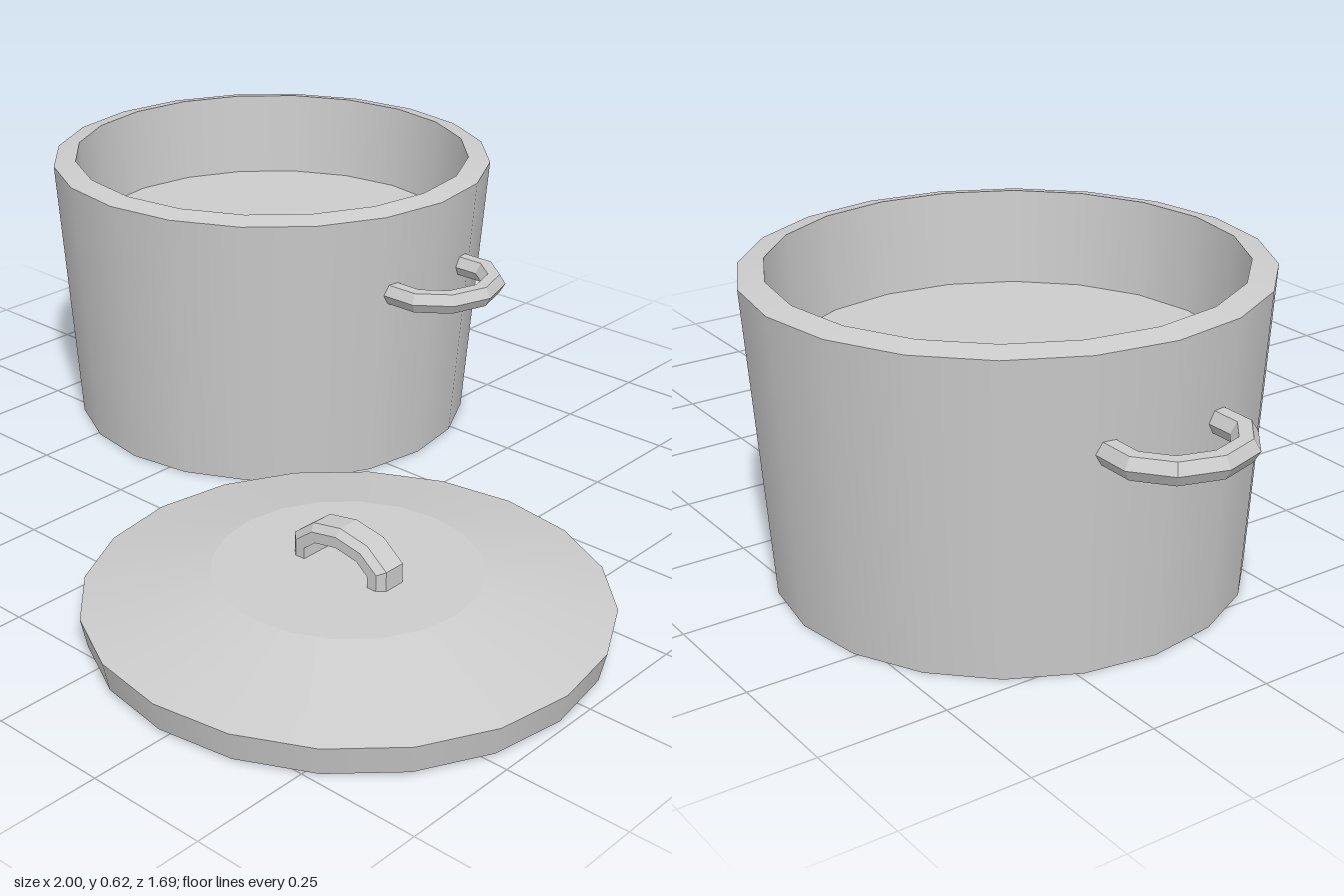
import * as THREE from 'three';
import { mergeGeometries } from 'three/addons/utils/BufferGeometryUtils.js';

const SIDES = 20;

// Turned body: smooth around the axis, a crisp edge at every profile corner
function turned(profile) {
  const pts = profile.map(([r, y]) => new THREE.Vector2(r, y));
  const bands = [];
  for (let i = 0; i < pts.length - 1; i++) {
    bands.push(new THREE.LatheGeometry([pts[i], pts[i + 1]], SIDES));
  }
  return mergeGeometries(bands);
}

// Mirror a half path (from its foot to the crown at x = 0) into a full arch
function arch(half) {
  const mirrored = half.slice(0, -1).reverse().map(([x, y]) => [-x, y]);
  return [...half, ...mirrored].map(([x, y]) => new THREE.Vector2(x, y));
}

// Sweep a section of [normal, depth] offsets along a path in the xy plane, with mitred corners
function sweep(path, section) {
  const positions = [], index = [], n = section.length;
  const dirs = path.slice(1).map((p, i) => p.clone().sub(path[i]).normalize());
  path.forEach((p, i) => {
    const d0 = dirs[Math.max(i - 1, 0)];
    const d1 = dirs[Math.min(i, dirs.length - 1)];
    const t = d0.clone().add(d1).normalize();
    const mitre = 1 / t.dot(d0);
    for (const [a, b] of section) {
      positions.push(p.x - t.y * a * mitre, p.y + t.x * a * mitre, b);
    }
    if (i === path.length - 1) return;
    for (let j = 0; j < n; j++) {
      const a = i * n + j, b = i * n + (j + 1) % n;
      index.push(a, b, a + n, b, b + n, a + n);
    }
  });
  const geometry = new THREE.BufferGeometry();
  geometry.setAttribute('position', new THREE.Float32BufferAttribute(positions, 3));
  geometry.setIndex(index);
  geometry.computeVertexNormals();
  return geometry;
}

export function createModel() {
  const smooth = new THREE.MeshStandardMaterial({ color: 0xcccccc });
  const faceted = new THREE.MeshStandardMaterial({ color: 0xcccccc, flatShading: true });
  const add = (parent, name, geometry, material) => {
    const mesh = new THREE.Mesh(geometry, material);
    mesh.name = name;
    parent.add(mesh);
    return mesh;
  };

  const model = new THREE.Group();
  model.name = 'potWithLid';

  // Pot: flared wall, sloping rim, filled interior
  const pot = new THREE.Group();
  pot.name = 'pot';
  pot.position.set(-0.35, 0, -0.345);
  model.add(pot);
  add(pot, 'potBody', turned([
    [0, 0], [0.46, 0], [0.505, 0.615], [0.455, 0.625], [0.44, 0.43], [0, 0.43],
  ]), smooth);

  // Side handles: horizontal hexagonal loops, mirrored left and right
  const hexagon = [0, 1, 2, 3, 4, 5].map((k) => [
    0.025 * Math.cos(k * Math.PI / 3), 0.025 * Math.sin(k * Math.PI / 3),
  ]);
  const loop = sweep(arch([[-0.12, 0.44], [-0.12, 0.54], [-0.075, 0.597], [0, 0.62]]), hexagon);
  // Lay the loop flat: path x to z, path y to x, depth to y
  loop.applyMatrix4(new THREE.Matrix4().makeBasis(
    new THREE.Vector3(0, 0, 1), new THREE.Vector3(1, 0, 0), new THREE.Vector3(0, 1, 0),
  ));
  for (const [name, angle] of [['leftHandle', 0], ['rightHandle', Math.PI]]) {
    const handle = add(pot, name, loop, faceted);
    handle.position.y = 0.431;
    handle.rotation.y = angle;
  }

  // Lid: short rim, shallow cone and flat crown, hollow underneath
  const lid = new THREE.Group();
  lid.name = 'lid';
  lid.position.set(0.481, 0, 0.325);
  model.add(lid);
  add(lid, 'lidBody', turned([
    [0, 0.085], [0.27, 0.085], [0.39, 0.045], [0.505, 0.005],
    [0.518, 0.065], [0.265, 0.125], [0, 0.125],
  ]), smooth);

  // Lid handle: bevelled strap arched over the crown
  const strap = [
    [0.018, -0.024], [0.018, 0.024], [0.004, 0.037],
    [-0.018, 0.037], [-0.018, -0.037], [0.004, -0.037],
  ];
  add(lid, 'lidHandle', sweep(
    arch([[-0.098, 0.115], [-0.098, 0.157], [-0.06, 0.187], [0, 0.198]]), strap,
  ), faceted);

  return model;
}
